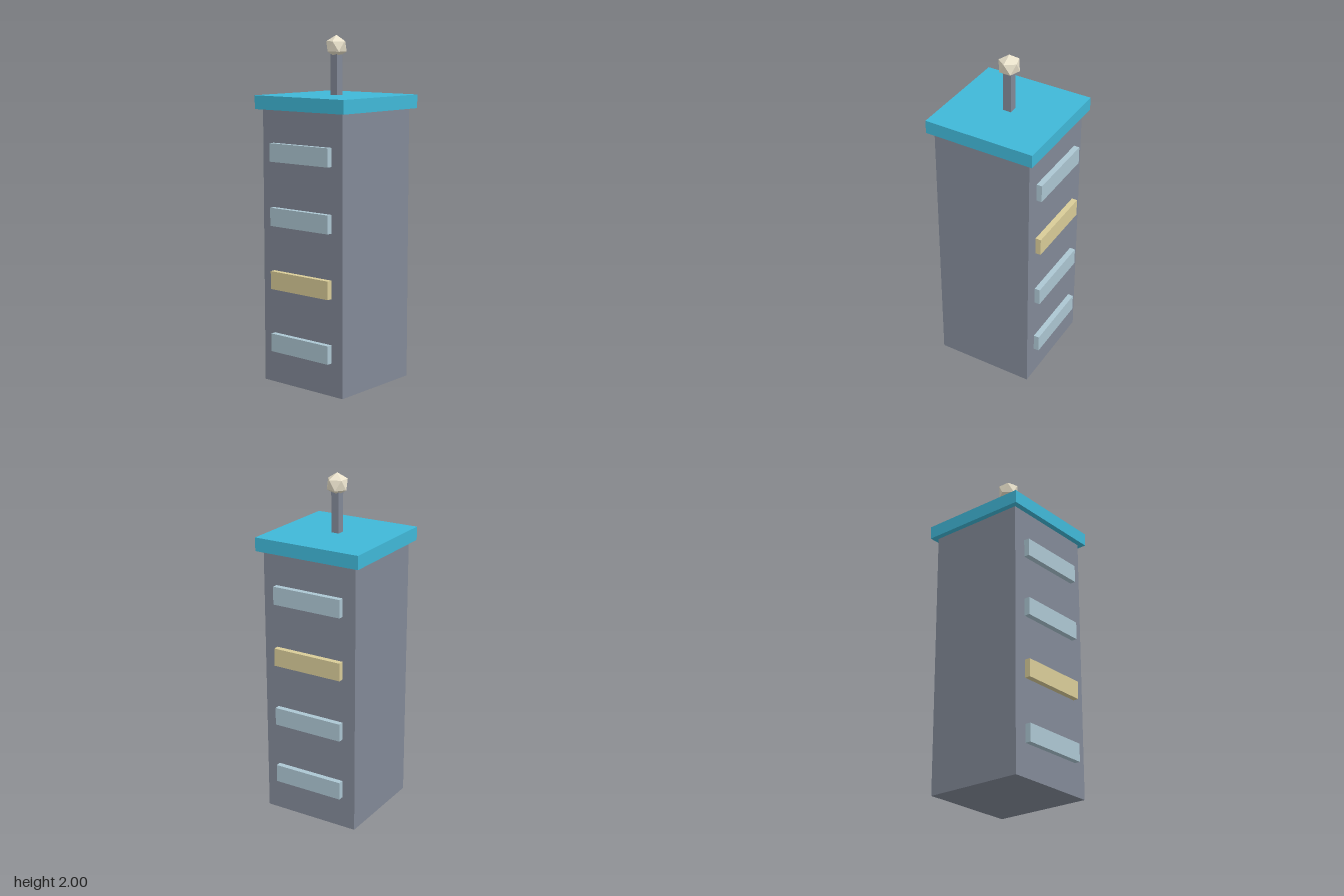
import * as THREE from 'three';

export function createModel() {
  const model = new THREE.Group();
  const material = (color) => new THREE.MeshStandardMaterial({ color, flatShading: true });
  const wall = material(0x828997);
  const roofBlue = material(0x40b8d8);
  const glass = material(0xacc6d2);
  const litGlass = material(0xd9cc98);
  const cream = material(0xeae2cc);

  const add = (name, geometry, mat, x, y, z) => {
    const mesh = new THREE.Mesh(geometry, mat);
    mesh.name = name;
    mesh.position.set(x, y, z);
    model.add(mesh);
  };
  // Box standing on height y0
  const box = (name, w, h, d, mat, y0, z = 0) =>
    add(name, new THREE.BoxGeometry(w, h, d), mat, 0, y0 + h / 2, z);

  // Tower and overhanging roof slab
  box('tower', 0.59, 1.584, 0.59, wall, 0);
  box('roof', 0.656, 0.078, 0.656, roofBlue, 1.584);

  // Window strips on front and back, one lit on each side
  for (let floor = 0; floor < 4; floor++) {
    const y = 0.19 + floor * 0.3675;
    box('frontWindow', 0.43, 0.105, 0.033, floor === 1 ? litGlass : glass, y, 0.3115);
    box('backWindow', 0.43, 0.105, 0.033, floor === 2 ? litGlass : glass, y, -0.3115);
  }

  // Square mast topped by a faceted ball standing on one of its corners
  box('mast', 0.048, 0.26, 0.048, wall, 1.662);
  const ball = new THREE.IcosahedronGeometry(0.065, 0);
  ball.rotateZ(-Math.atan(2 / (1 + Math.sqrt(5))));
  add('beacon', ball, cream, 0, 1.935, 0);

  return model;
}
